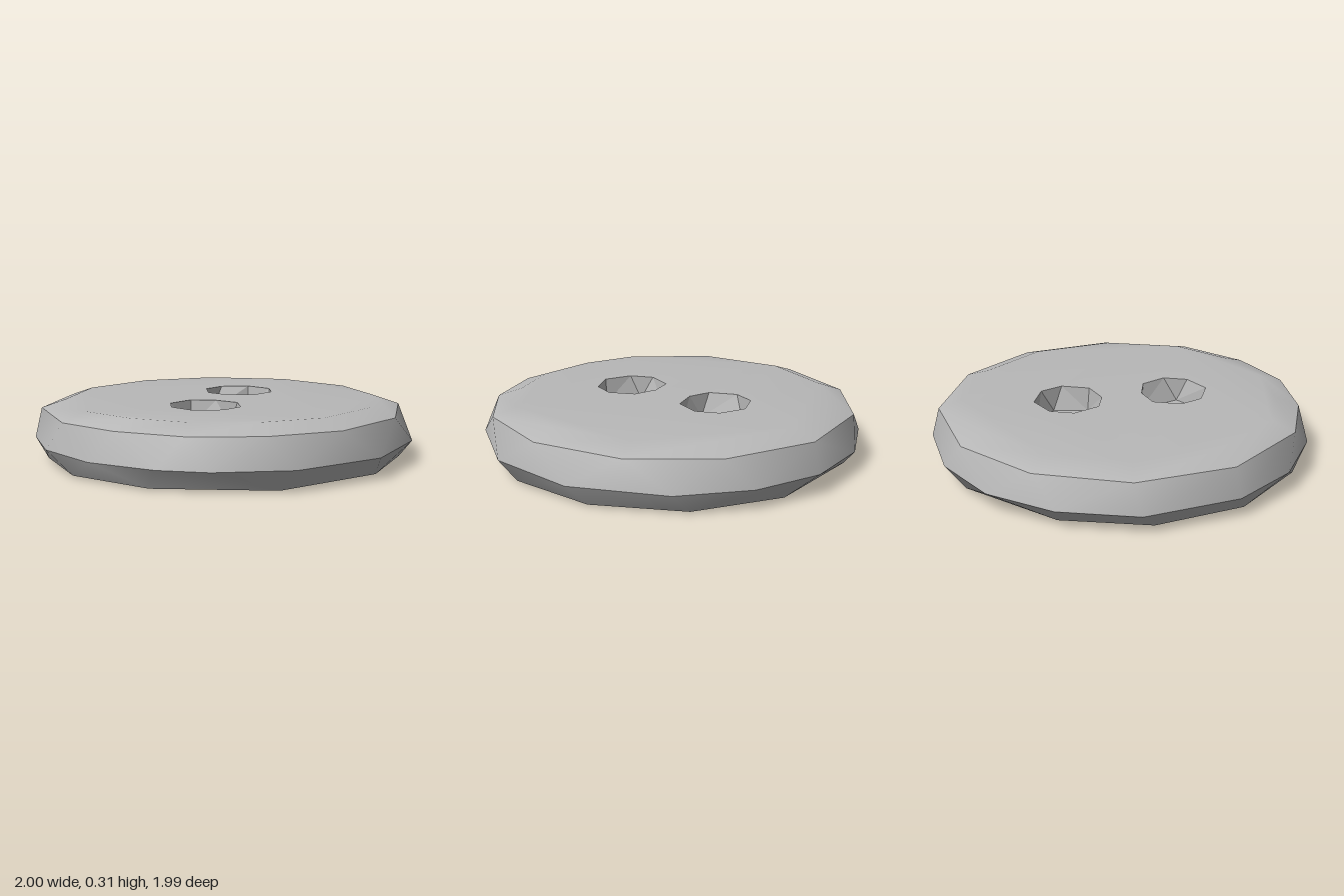
import * as THREE from 'three';
import { mergeGeometries, mergeVertices } from 'three/addons/utils/BufferGeometryUtils.js';

const TOP = 0.31, FLOOR = 0.18;

// Outlines as [x, z] pairs, irregular like a coarse carved disc
const BASE = [[0.89, 0.29], [0.92, -0.2], [0.7, -0.64], [0.28, -0.89], [-0.33, -0.87], [-0.76, -0.48],
  [-0.91, -0.04], [-0.82, 0.43], [-0.51, 0.79], [-0.05, 0.94], [0.54, 0.79]];
const GIRTH = [[0.14, -1], [0.5, -0.87], [0.8, -0.61], [1, -0.13], [0.93, 0.38], [0.62, 0.79], [0.26, 0.96],
  [0, 0.99], [-0.37, 0.92], [-0.7, 0.7], [-0.92, 0.38], [-1, -0.12], [-0.86, -0.51], [-0.61, -0.8], [-0.26, -0.97]];
const SHOULDER = [[0.13, -0.96], [0.59, -0.76], [0.88, -0.38], [0.95, 0.11], [0.78, 0.56], [0.48, 0.82],
  [0.13, 0.94], [-0.24, 0.91], [-0.57, 0.77], [-0.89, 0.36], [-0.95, -0.15], [-0.75, -0.6], [-0.38, -0.89]];
const CROWN = SHOULDER.map(([x, z]) => [x * 0.865, z * 0.865]);

// Each thread hole: octagonal mouth, pentagonal floor
const HOLES = [
  { z: -0.29,
    mouth: [[0, -0.47], [0.14, -0.41], [0.19, -0.29], [0.13, -0.15], [-0.01, -0.11], [-0.13, -0.15], [-0.19, -0.29], [-0.14, -0.41]],
    floor: [[0, -0.46], [0.17, -0.34], [0.13, -0.16], [-0.09, -0.13], [-0.17, -0.34]] },
  { z: 0.285,
    mouth: [[0, 0.11], [0.13, 0.15], [0.19, 0.28], [0.14, 0.4], [0, 0.465], [-0.14, 0.4], [-0.19, 0.28], [-0.13, 0.14]],
    floor: [[0.09, 0.13], [0.17, 0.35], [0, 0.455], [-0.17, 0.35], [-0.12, 0.15]] },
];

// Ring of points at one height, sorted by angle about (0, cz)
function ring(outline, y, cz = 0) {
  return outline
    .map(([x, z]) => ({ p: [x, y, z], a: Math.atan2(z - cz, x) }))
    .sort((m, n) => m.a - n.a);
}

// Surface between two rings, whose point counts may differ; a ring may be one point
function stitch(a, b) {
  const na = a.length > 1 ? a.length : 0, nb = b.length > 1 ? b.length : 0;
  const index = [];
  const next = (r, k, n) => (k >= n ? Infinity : k + 1 === n ? r[0].a + 2 * Math.PI : r[k + 1].a);
  const ia = k => k % a.length, ib = k => a.length + (k % b.length);
  for (let i = 0, j = 0; i < na || j < nb;) {
    if (next(a, i, na) <= next(b, j, nb)) {
      index.push(ia(i), ib(j), ia(i + 1));
      i++;
    } else {
      index.push(ia(i), ib(j), ib(j + 1));
      j++;
    }
  }
  const g = new THREE.BufferGeometry();
  g.setAttribute('position', new THREE.Float32BufferAttribute([...a, ...b].flatMap(v => v.p), 3));
  g.setIndex(index);
  g.computeVertexNormals();
  return g;
}

// Flat crown pierced by the holes, blended smoothly into its sloping edge
function crownGeometry() {
  const toPoints = outline => outline.map(([x, z]) => new THREE.Vector2(x, -z));
  const shape = new THREE.Shape(toPoints(CROWN));
  HOLES.forEach(h => shape.holes.push(new THREE.Path(toPoints(h.mouth))));
  const flat = new THREE.ShapeGeometry(shape).rotateX(-Math.PI / 2).translate(0, TOP, 0);
  const slope = stitch(ring(SHOULDER, 0.265), ring(CROWN, TOP));
  [flat, slope].forEach(g => { g.deleteAttribute('normal'); g.deleteAttribute('uv'); });
  const merged = mergeVertices(mergeGeometries([flat, slope]), 1e-4);
  merged.computeVertexNormals();
  return merged;
}

export function createModel() {
  const group = new THREE.Group();
  const grey = new THREE.MeshStandardMaterial({ color: 0xb8b8b8 });
  grey.name = 'grey';
  const add = (name, geometry) => {
    const mesh = new THREE.Mesh(geometry, grey);
    mesh.name = name;
    group.add(mesh);
  };

  // Disc body
  add('underside', stitch(ring([[0, 0]], 0), ring(BASE, 0.01)));
  add('lowerBevel', stitch(ring(BASE, 0.01), ring(GIRTH, 0.11)));
  add('sideWall', stitch(ring(GIRTH, 0.11), ring(SHOULDER, 0.265)));
  add('topFace', crownGeometry());

  // Recessed thread holes with faceted walls
  for (const { z, mouth, floor } of HOLES) {
    const walls = stitch(ring(mouth, TOP, z), ring(floor, FLOOR, z)).toNonIndexed();
    walls.computeVertexNormals();
    add('holeWall', walls);
    add('holeFloor', stitch(ring(floor, FLOOR, z), ring([[0, z]], FLOOR, z)));
  }
  return group;
}
